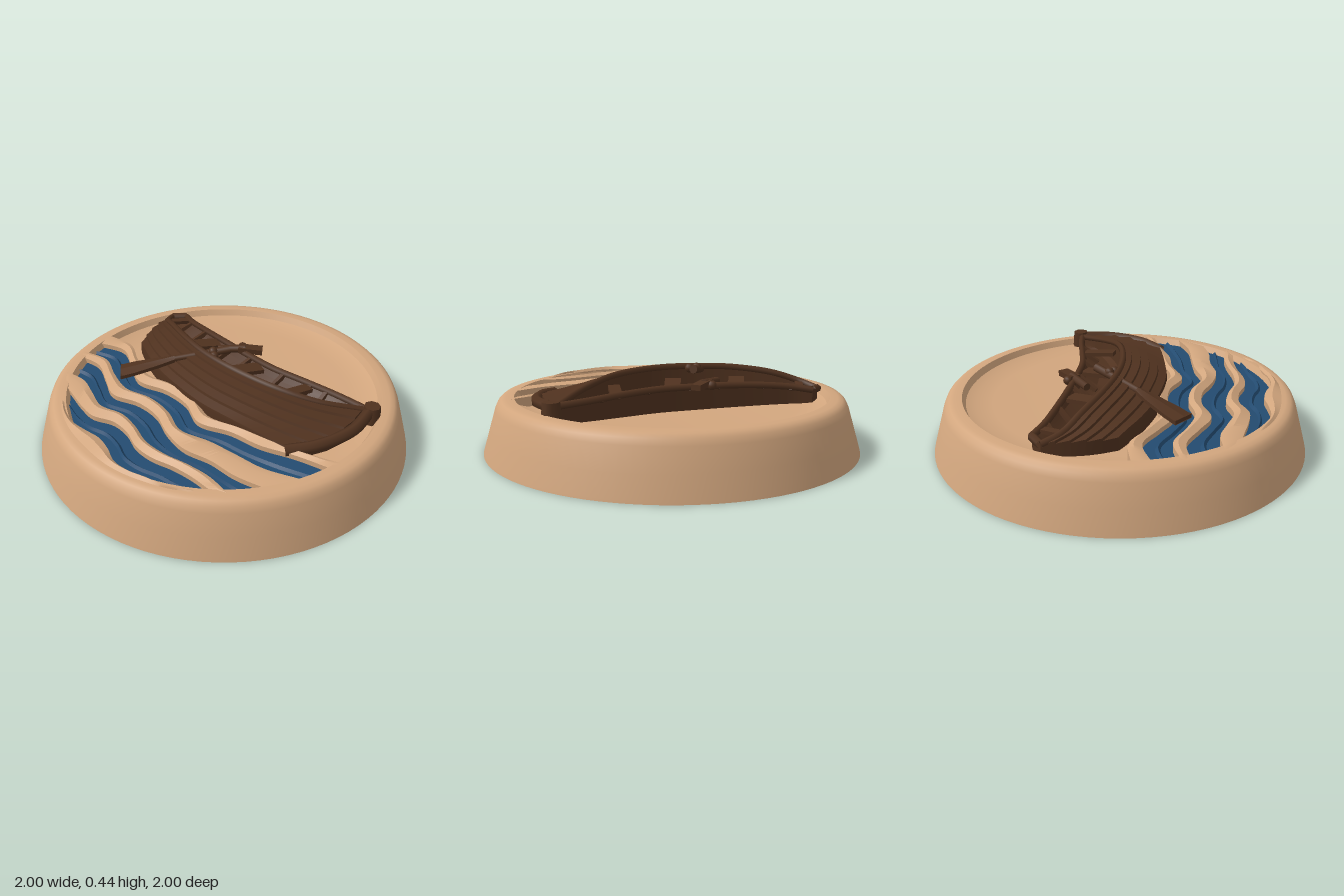
import * as THREE from 'three';
import { toCreasedNormals } from 'three/addons/utils/BufferGeometryUtils.js';

const N = 72;
const V = (x, y, z) => new THREE.Vector3(x, y, z);
const clay = new THREE.MeshStandardMaterial({ color: 0xd2a67e, side: THREE.DoubleSide });
const wood = new THREE.MeshStandardMaterial({ color: 0x50321f, side: THREE.DoubleSide });
const water = new THREE.MeshStandardMaterial({ color: 0x234b70, side: THREE.DoubleSide });
clay.name = 'sand clay';
wood.name = 'dark wood';
water.name = 'deep blue';

function add(group, name, geometry, material) {
  const mesh = new THREE.Mesh(geometry, material);
  mesh.name = name;
  group.add(mesh);
  return mesh;
}

const curve = (pts) => new THREE.CatmullRomCurve3(pts.map((p) => V(...p))).getPoints(N);
const atY = (row, y) => row.map((p) => V(p.x, y, p.z));
const mix = (a, b, v) => a.map((p, i) => p.clone().lerp(b[i], v));

// Skin over rows that run left to right, ordered from back to front
function patch(rows, crease = 0.6) {
  const pos = [], index = [], n = rows[0].length;
  rows.forEach((row) => row.forEach((p) => pos.push(p.x, p.y, p.z)));
  for (let j = 0; j < rows.length - 1; j++) {
    for (let i = 0; i < n - 1; i++) {
      const a = j * n + i, b = a + n;
      index.push(a, b, a + 1, b, b + 1, a + 1);
    }
  }
  const g = new THREE.BufferGeometry();
  g.setAttribute('position', new THREE.Float32BufferAttribute(pos, 3));
  g.setIndex(index);
  return toCreasedNormals(g, crease);
}

const tube = (pts, r, sides = 6) =>
  new THREE.TubeGeometry(new THREE.CatmullRomCurve3(pts), 48, r, sides);

// Box running from a to b
function beam(group, name, a, b, width, thick) {
  const mesh = add(group, name, new THREE.BoxGeometry(width, thick, a.distanceTo(b)), wood);
  mesh.position.copy(a).lerp(b, 0.5);
  mesh.lookAt(b);
  return mesh;
}

// Round pole running from a to b
function pole(group, name, a, b, ra, rb) {
  const mesh = add(group, name, new THREE.CylinderGeometry(rb, ra, a.distanceTo(b), 10), wood);
  mesh.position.copy(a).lerp(b, 0.5);
  mesh.quaternion.setFromUnitVectors(V(0, 1, 0), b.clone().sub(a).normalize());
}

function buildBase(group) {
  const profile = [[0, 0], [1, 0], [0.997, 0.012], [0.965, 0.12], [0.932, 0.23], [0.918, 0.26],
    [0.9, 0.277], [0.875, 0.283], [0.835, 0.284], [0.818, 0.25], [0.77, 0.233], [0.68, 0.225], [0, 0.218]];
  const lathe = new THREE.LatheGeometry(profile.map((p) => new THREE.Vector2(...p)), 96);
  add(group, 'roundBase', toCreasedNormals(lathe, 0.7), clay);
}

function buildSea(group) {
  // Each edge: first x, last x, then z at even steps between them
  const edges = [
    [-0.82, 0.85, 0.21, 0.17, 0.23, 0.27, 0.22, 0.21, 0.25, 0.19, 0.13, 0.08, 0],
    [-0.80, 0.84, 0.30, 0.23, 0.285, 0.34, 0.28, 0.27, 0.315, 0.24, 0.20, 0.12, 0.06],
    [-0.76, 0.81, 0.42, 0.365, 0.41, 0.435, 0.385, 0.385, 0.425, 0.37, 0.335, 0.30, 0.22],
    [-0.74, 0.75, 0.46, 0.425, 0.47, 0.515, 0.455, 0.445, 0.485, 0.495, 0.45, 0.43, 0.38],
    [-0.63, 0.67, 0.60, 0.57, 0.595, 0.62, 0.575, 0.58, 0.605, 0.59, 0.55, 0.525, 0.53],
    [-0.54, 0.60, 0.665, 0.68, 0.695, 0.695, 0.64, 0.635, 0.66, 0.65, 0.61, 0.585, 0.575],
    [-0.40, 0.56, 0.745, 0.785, 0.80, 0.785, 0.765, 0.775, 0.80, 0.785, 0.745, 0.715, 0.635],
  ].map(([x0, x1, ...zs]) =>
    curve(zs.map((z, i) => [x0 + (x1 - x0) * i / (zs.length - 1), 0, z])));
  // Last edge follows the rim
  edges.push(edges[6].map((p) => V(p.x * 1.05, 0, Math.sqrt(0.865 ** 2 - (p.x * 1.05) ** 2))));

  for (let k = 0; k < 7; k++) {
    const a = edges[k], b = edges[k + 1];
    if (k % 2 === 0) {
      // Raised wave crest, levelling into the rim at both ends
      const crest = mix(a, b, 0.4);
      crest.forEach((p, i) => { p.y = 0.283 + 0.017 * Math.sin(Math.PI * i / N) ** 0.4; });
      add(group, 'waveCrest', patch([atY(a, 0.222), atY(a, 0.284), crest, atY(b, 0.279), atY(b, 0.24)]), clay);
    } else {
      // Blue trough with a low ripple
      add(group, 'waveTrough', patch([atY(a, 0.252), atY(mix(a, b, 0.42), 0.25),
        atY(mix(a, b, 0.52), 0.264), atY(mix(a, b, 0.6), 0.25), atY(b, 0.25)], 0.3), water);
    }
  }
}

function buildBoat(group) {
  const far = curve([[-0.7, 0.30, -0.27], [-0.6, 0.315, -0.24], [-0.45, 0.33, -0.225], [-0.25, 0.34, -0.22],
    [-0.05, 0.342, -0.225], [0.13, 0.342, -0.24], [0.34, 0.335, -0.295], [0.5, 0.325, -0.34], [0.66, 0.315, -0.375]]);
  const near = curve([[-0.76, 0.295, -0.21], [-0.69, 0.325, -0.13], [-0.55, 0.37, -0.07], [-0.34, 0.4, -0.01],
    [-0.13, 0.41, 0.015], [0.09, 0.412, 0], [0.33, 0.395, -0.07], [0.51, 0.355, -0.19], [0.66, 0.315, -0.36]]);
  const keel = curve([[-0.62, 0.28, 0.12], [-0.54, 0.29, 0.15], [-0.42, 0.295, 0.19], [-0.25, 0.3, 0.225],
    [-0.09, 0.305, 0.24], [0.1, 0.305, 0.24], [0.3, 0.3, 0.205], [0.46, 0.295, 0.17], [0.62, 0.285, 0.13]]);

  // Overlapping hull planks, bulging toward the bow
  const hullRow = (v, lift) => mix(near, keel, v).map((p, i) => {
    const u = i / N, s = Math.sin(Math.PI * v);
    return V(p.x + 0.07 * s * u ** 6 - 0.025 * s * (1 - u) ** 6, p.y + lift + 0.01 * s, p.z);
  });
  const rows = [], planks = 5;
  for (let k = 0; k < planks; k++) {
    rows.push(hullRow(k / planks, 0), hullRow((k + 0.93) / planks, 0.012));
  }
  rows.push(hullRow(1, 0), atY(keel, 0.22));
  add(group, 'hullPlanks', patch(rows, 0.4), wood);

  // Sides that close the hull down to the base
  const sternEdge = rows.map((r) => r[0]), bowEdge = rows.map((r) => r[N]);
  for (const [name, edge] of [['sternSide', sternEdge], ['bowSide', bowEdge], ['farSide', far],
    ['transom', [far[0], near[0]]]]) {
    add(group, name, patch([edge, atY(edge, 0.21)]), wood);
  }

  // Hollow inside
  add(group, 'boatInside', patch([far, atY(mix(far, near, 0.12), 0.3), atY(mix(far, near, 0.4), 0.265),
    atY(mix(far, near, 0.75), 0.258), atY(mix(far, near, 0.93), 0.275), near], 0.4), wood);

  // Rails
  add(group, 'farRail', tube(far, 0.018), wood);
  add(group, 'nearRail', tube(near, 0.018), wood);
  add(group, 'sternRail', tube([far[0], near[0]], 0.022), wood);
  beam(group, 'sternBench', V(-0.64, 0.305, -0.24), V(-0.68, 0.315, -0.14), 0.04, 0.02);

  // Ribs on the far wall
  for (const u of [0.14, 0.26, 0.42, 0.52, 0.66, 0.76, 0.84]) {
    const i = Math.round(u * N), a = far[i], b = far[i].clone().lerp(near[i], 0.45);
    beam(group, 'rib', V(a.x, a.y - 0.005, a.z), V(b.x, 0.27, b.z), 0.022, 0.025);
  }

  // Seats
  beam(group, 'seat', V(0.06, 0.325, -0.21), V(0, 0.345, -0.02), 0.085, 0.022);
  beam(group, 'seat', V(-0.29, 0.32, -0.2), V(-0.36, 0.34, -0.03), 0.085, 0.022);
  beam(group, 'seat', V(0.36, 0.32, -0.28), V(0.34, 0.34, -0.1), 0.06, 0.022);

  // Stem post and its block
  add(group, 'stemPost', tube([V(0.69, 0.31, -0.38), V(0.735, 0.305, -0.2), V(0.7, 0.295, 0), V(0.615, 0.28, 0.135)], 0.03), wood);
  const head = add(group, 'stemHead', new THREE.CylinderGeometry(0.042, 0.05, 0.09, 8), wood);
  head.position.set(0.692, 0.295, -0.392);
}

function buildOars(group) {
  // Near oar, resting over the rail
  const grip = V(-0.085, 0.413, -0.11), neck = V(-0.25, 0.372, 0.14), tip = V(-0.41, 0.31, 0.39);
  pole(group, 'oarShaft', grip, neck, 0.022, 0.017);
  const up = V(0, 0.012, 0), across = V(0.83, 0, 0.55);
  const outline = [[0, 0.02], [0.3, 0.04], [0.75, 0.058], [1, 0.06]];
  const side = (s, y) => outline.map(([t, w]) => neck.clone().lerp(tip, t).addScaledVector(across, s * w).addScaledVector(up, y));
  // Blade as a closed loop of sections
  add(group, 'oarBlade', patch([side(-1, -1), side(-1, 0.6), side(0, 1.4), side(1, 0.6), side(1, -1), side(-1, -1)], 0.3), wood);
  beam(group, 'oarBladeEnd', neck.clone().lerp(tip, 0.98).addScaledVector(across, -0.06),
    neck.clone().lerp(tip, 0.98).addScaledVector(across, 0.06), 0.012, 0.02);
  // Far oar, shown foreshortened
  pole(group, 'farOarShaft', V(-0.21, 0.35, -0.13), V(-0.1, 0.36, -0.24), 0.02, 0.022);
  beam(group, 'farOarBlade', V(-0.13, 0.36, -0.21), V(-0.035, 0.352, -0.305), 0.055, 0.03);
  // Oarlocks
  for (const [x, y, z] of [[-0.13, 0.41, -0.03], [-0.095, 0.405, -0.01], [-0.14, 0.35, -0.25]]) {
    add(group, 'oarlock', new THREE.SphereGeometry(0.025, 10, 8), wood).position.set(x, y, z);
  }
}

export function createModel() {
  const model = new THREE.Group();
  model.name = 'rowingBoatRelief';
  for (const [name, build] of [['base', buildBase], ['sea', buildSea], ['boat', buildBoat], ['oars', buildOars]]) {
    const part = new THREE.Group();
    part.name = name;
    build(part);
    model.add(part);
  }
  return model;
}
